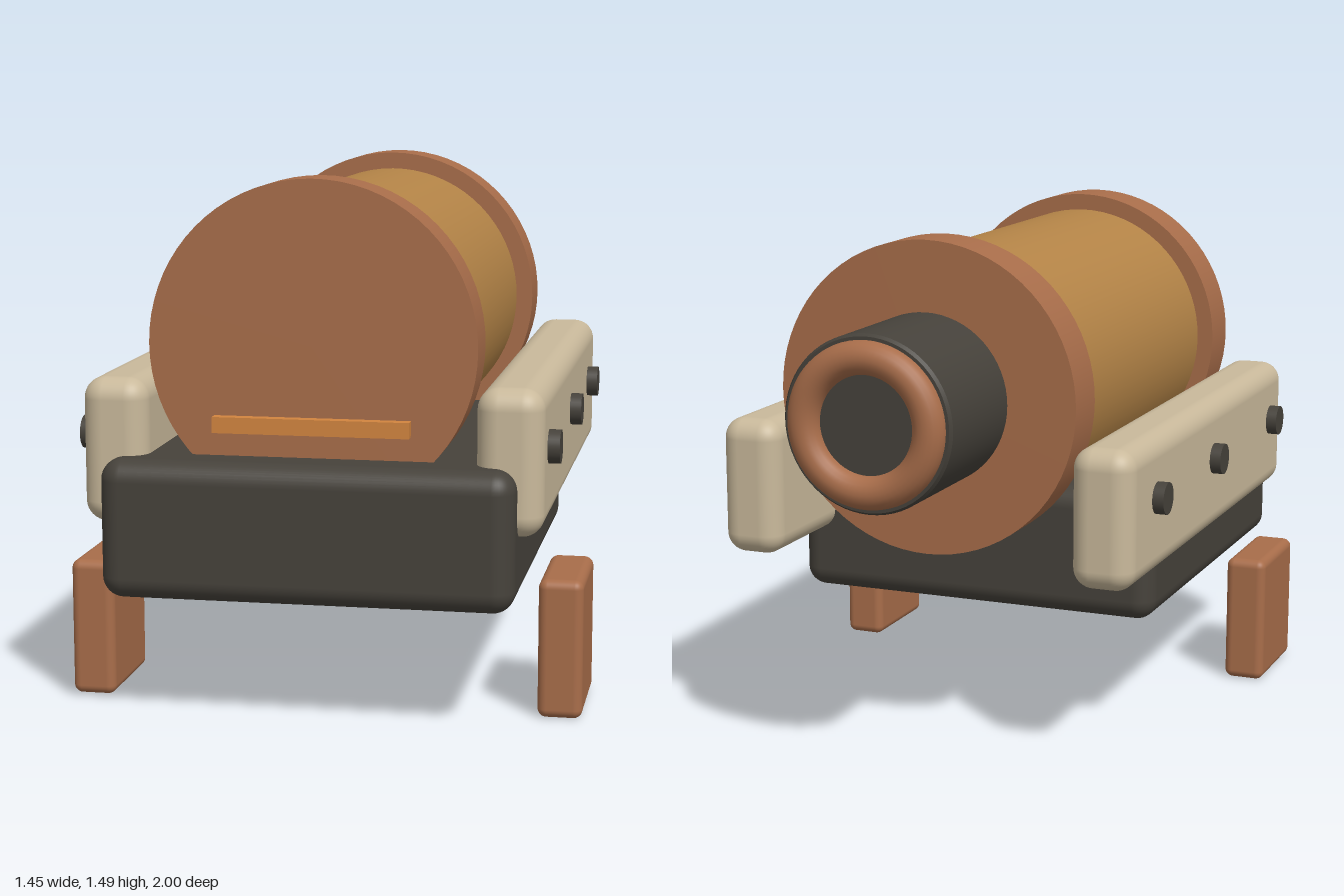
import * as THREE from 'three';
import { RoundedBoxGeometry } from 'three/addons/geometries/RoundedBoxGeometry.js';

const material = (name, color) => {
  const m = new THREE.MeshStandardMaterial({ color });
  m.name = name;
  return m;
};

export function createModel() {
  const model = new THREE.Group();
  model.name = 'barrelDevice';
  const dark = material('charcoal', 0x46423b);
  const copper = material('copper', 0xa86d4a);
  const brass = material('brass', 0xb48447);
  const cream = material('cream', 0xc9b99b);
  const orange = material('orange', 0xd2853f);

  const add = (name, geometry, mat, x, y, z) => {
    const mesh = new THREE.Mesh(geometry, mat);
    mesh.name = name;
    mesh.position.set(x, y, z);
    model.add(mesh);
    return mesh;
  };

  // Rounded box from its limits on each axis
  const block = (name, mat, [x0, x1], [y0, y1], [z0, z1], r) =>
    add(name, new RoundedBoxGeometry(x1 - x0, y1 - y0, z1 - z0, 5, r), mat,
      (x0 + x1) / 2, (y0 + y1) / 2, (z0 + z1) / 2);

  // Cylinder lying along z
  const axisY = 1.035;
  const drum = (name, mat, r, z0, z1) =>
    add(name, new THREE.CylinderGeometry(r, r, z1 - z0, 72).rotateX(Math.PI / 2), mat,
      0, axisY, (z0 + z1) / 2);

  // Base block
  block('base', dark, [-0.565, 0.565], [0.347, 0.732], [-0.24, 1], 0.06);

  // Barrel with its two end caps
  drum('barrel', brass, 0.4, -0.42, 0.72);
  drum('frontCap', copper, 0.45, 0.71, 0.86);
  drum('rearCap', copper, 0.45, -0.565, -0.413);

  // Rear nozzle, with slightly softened rim, and its ring
  const profile = [[0, -0.2], [0.247, -0.2], [0.247, 0.19], [0.24, 0.2], [0, 0.2]]
    .map(([r, h]) => new THREE.Vector2(r, h));
  const nozzle = profile.slice(0, -1).map((p, i) => [p, profile[i + 1]]);
  const nozzleGroup = new THREE.Group();
  nozzleGroup.name = 'nozzle';
  nozzleGroup.position.set(0, axisY, -0.755);
  nozzleGroup.rotation.x = -Math.PI / 2;
  for (const points of nozzle) {
    const part = new THREE.Mesh(new THREE.LatheGeometry(points, 64), dark);
    part.name = 'nozzleSurface';
    nozzleGroup.add(part);
  }
  model.add(nozzleGroup);
  add('nozzleRing', new THREE.TorusGeometry(0.184, 0.047, 20, 64), copper, 0, axisY, -0.953);

  // Slot bar on the front cap
  add('slotBar', new THREE.BoxGeometry(0.54, 0.044, 0.04), orange, 0, 0.82, 0.872);

  // Side rails, studs and feet, mirrored
  for (const side of [-1, 1]) {
    const label = side > 0 ? 'left' : 'right';
    const span = (a, b) => (side > 0 ? [a, b] : [-b, -a]);
    block(label + 'Rail', cream, span(0.45, 0.632), [0.54, 0.942], [-0.628, 0.92], 0.06);
    block(label + 'Foot', copper, span(0.603, 0.727), [0, 0.39], [0.4, 0.737], 0.025);
    for (const z of [0.77, 0.15, -0.395]) {
      const stud = new THREE.CylinderGeometry(0.046, 0.046, 0.04, 32).rotateZ(Math.PI / 2);
      add(label + 'Stud', stud, dark, side * 0.645, 0.77, z);
    }
  }
  return model;
}
